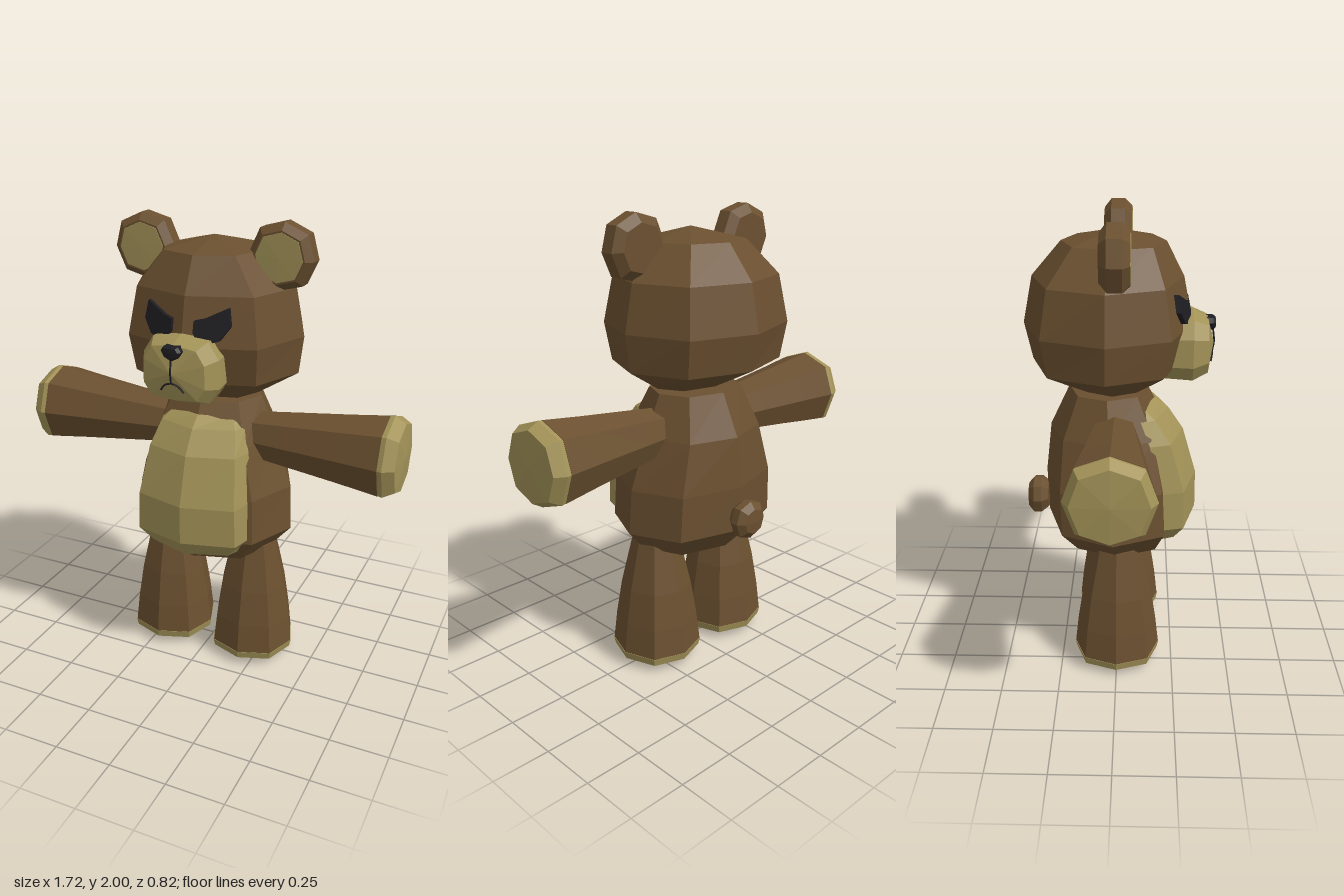
import * as THREE from 'three';

const material = (color, extra = {}) =>
  Object.assign(new THREE.MeshStandardMaterial({ color, flatShading: true }), extra);
const brown = material(0x6b5030);
const tan = material(0xa39358);
const dark = material(0x1e1e22);

// Skin equal-length rings of [x, y, z]; both ends close in a fan to a centre point.
function loft(rings, startTip, endTip) {
  const n = rings[0].length;
  const points = rings.flat();
  const index = [];
  const start = points.push(startTip) - 1;
  const end = points.push(endTip) - 1;
  const last = (rings.length - 1) * n;
  for (let j = 0; j < n; j++) {
    const k = (j + 1) % n;
    for (let i = 0; i < rings.length - 1; i++) {
      const a = i * n + j, b = i * n + k;
      index.push(a, b, b + n, a, b + n, a + n);
    }
    index.push(start, k, j, end, last + j, last + k);
  }
  const geometry = new THREE.BufferGeometry();
  geometry.setAttribute('position', new THREE.Float32BufferAttribute(points.flat(), 3));
  geometry.setIndex(index);
  geometry.computeVertexNormals();
  return geometry;
}

// Eight-sided ring around y, slightly squared, with its own front and back reach.
function octagon(y, rx, front, back) {
  const middle = (front + back) / 2, rz = (front - back) / 2;
  return Array.from({ length: 8 }, (_, i) => {
    const t = (i * Math.PI) / 4, k = i % 2 ? 1.04 : 1;
    return [rx * k * Math.sin(t), y, middle + rz * k * Math.cos(t)];
  });
}

// Round eight-sided limb along y from [y, radius] pairs.
const limb = (profile, startY, endY) =>
  loft(profile.map(([y, r]) => octagon(y, r, r, -r)), [0, startY, 0], [0, endY, 0]);

export function createModel() {
  const model = new THREE.Group();
  const add = (name, geometry, mat, parent = model) => {
    const mesh = new THREE.Mesh(geometry, mat);
    mesh.name = name;
    parent.add(mesh);
    return mesh;
  };
  const addGroup = (name) => {
    const group = new THREE.Group();
    group.name = name;
    model.add(group);
    return group;
  };

  // Head and body
  add('head', loft([
    octagon(1.267, 0.2, 0.12, -0.16),
    octagon(1.37, 0.37, 0.275, -0.365),
    octagon(1.53, 0.39, 0.315, -0.4),
    octagon(1.73, 0.35, 0.275, -0.36),
    octagon(1.875, 0.215, 0.2, -0.235),
  ], [0, 1.245, -0.02], [0, 1.925, -0.01]), brown);
  add('body', loft([
    octagon(0.55, 0.28, 0.23, -0.235),
    octagon(0.65, 0.37, 0.28, -0.315),
    octagon(0.85, 0.36, 0.27, -0.32),
    octagon(1.07, 0.285, 0.225, -0.295),
    octagon(1.25, 0.21, 0.13, -0.21),
  ], [0, 0.49, 0], [0, 1.26, -0.03]), brown);

  // Belly panel: rows of [y, half width, back z, front z]
  const bellyRows = [
    [0.6, 0.205, 0.19, 0.31], [0.67, 0.26, 0.17, 0.35], [0.84, 0.255, 0.17, 0.348],
    [1.05, 0.225, 0.14, 0.287], [1.15, 0.195, 0.1, 0.22], [1.195, 0.155, 0.08, 0.165],
  ];
  add('belly', loft(bellyRows.map(([y, w, back, front]) => [
    [-w, y, back], [-0.88 * w, y, front - 0.06], [0, y, front],
    [0.88 * w, y, front - 0.06], [w, y, back],
  ]), [0, 0.595, 0.2], [0, 1.2, 0.1]), tan);

  // Muzzle: half outline mirrored, then stepped forward
  const half = [[0.125, 1.315], [0.168, 1.38], [0.165, 1.5], [0.12, 1.57]];
  const outline = [[0, 1.305], ...half, [0, 1.588],
    ...half.map(([x, y]) => [-x, y]).reverse()];
  const muzzleRing = (z, s) => outline.map(([x, y]) => [x * s, 1.45 + (y - 1.45) * s, z]);
  add('muzzle', loft([muzzleRing(0.2, 0.95), muzzleRing(0.315, 1), muzzleRing(0.38, 0.8)],
    [0, 1.45, 0.2], [0, 1.45, 0.408]), tan);

  // Nose
  const noseOutline = [[0, 1.5], [0.03, 1.515], [0.045, 1.54], [0.03, 1.56],
    [-0.03, 1.56], [-0.045, 1.54], [-0.03, 1.515]];
  const noseRing = (z, s) => noseOutline.map(([x, y]) => [x * s, 1.535 + (y - 1.535) * s, z]);
  add('nose', loft([noseRing(0.36, 1), noseRing(0.4, 1), noseRing(0.412, 0.75)],
    [0, 1.535, 0.36], [0, 1.535, 0.414]), dark);

  // Frowning mouth and the line up to the nose
  const line = (points) => new THREE.TubeGeometry(
    new THREE.CatmullRomCurve3(points.map((p) => new THREE.Vector3(...p))), 8, 0.004, 5);
  const mouth = addGroup('mouth');
  add('mouthLine', line([[0, 1.51, 0.402], [0, 1.45, 0.409], [0, 1.41, 0.403]]), dark, mouth);
  add('frown', line([[-0.05, 1.375, 0.394], [-0.03, 1.4, 0.4], [0, 1.41, 0.403],
    [0.03, 1.4, 0.4], [0.05, 1.375, 0.394]]), dark, mouth);

  // Eyes: slanted plates leaning back with the face
  const eyeOutline = [[0.048, 1.64], [0.085, 1.648], [0.175, 1.692], [0.187, 1.62],
    [0.15, 1.565], [0.075, 1.545], [0.047, 1.595]];
  const earProfile = [[-0.06, 0.1], [-0.03, 0.138], [0.03, 0.138], [0.06, 0.108]];

  for (const side of [1, -1]) {
    const prefix = side > 0 ? 'left' : 'right';

    const shape = new THREE.Shape(eyeOutline.map(([x, y]) => new THREE.Vector2(side * x, y)));
    const eye = new THREE.ExtrudeGeometry(shape, { depth: 0.02, bevelEnabled: false });
    const p = eye.attributes.position;
    for (let i = 0; i < p.count; i++) {
      const lean = 0.312 - 0.3 * Math.abs(p.getX(i)) - 0.2 * (p.getY(i) - 1.53);
      p.setZ(i, p.getZ(i) + lean);
    }
    eye.computeVertexNormals();
    add(prefix + 'Eye', eye, dark);

    // Ear with a pale inner face
    const ear = addGroup(prefix + 'Ear');
    ear.position.set(side * 0.305, 1.862, -0.005);
    ear.rotation.z = side * -0.08;
    add('earShell', limb(earProfile, -0.06, 0.06).rotateX(Math.PI / 2), brown, ear);
    add('innerEar', limb([[0.04, 0.105], [0.062, 0.1]], 0.04, 0.064)
      .rotateX(Math.PI / 2), tan, ear);

    // Arm flaring out to a padded paw
    const arm = addGroup(prefix + 'Arm');
    arm.position.set(0, 1.08, -0.01);
    arm.rotation.y = side > 0 ? 0 : Math.PI;
    const sleeve = limb([[0.17, 0.1], [0.35, 0.122], [0.6, 0.152], [0.78, 0.176]], 0.17, 0.78);
    add('sleeve', sleeve.rotateZ(-Math.PI / 2), brown, arm);
    const paw = limb([[0.77, 0.172], [0.8, 0.178], [0.847, 0.15]], 0.77, 0.858);
    add('paw', paw.rotateZ(-Math.PI / 2), tan, arm);

    // Leg flaring down to a padded foot
    const leg = addGroup(prefix + 'Leg');
    leg.position.x = side * 0.205;
    add('shin', limb([[0.065, 0.19], [0.2, 0.175], [0.36, 0.15], [0.58, 0.1]],
      0.065, 0.6), brown, leg);
    add('foot', limb([[0.015, 0.15], [0.035, 0.185], [0.068, 0.192]], 0, 0.068), tan, leg);
  }

  // Stubby tail
  const tail = limb([[-0.045, 0.06], [-0.015, 0.084], [0.02, 0.084], [0.045, 0.055]],
    -0.05, 0.05);
  const tailMesh = add('tail', tail.rotateX(-Math.PI / 2), brown);
  tailMesh.position.set(0, 0.72, -0.36);

  return model;
}
